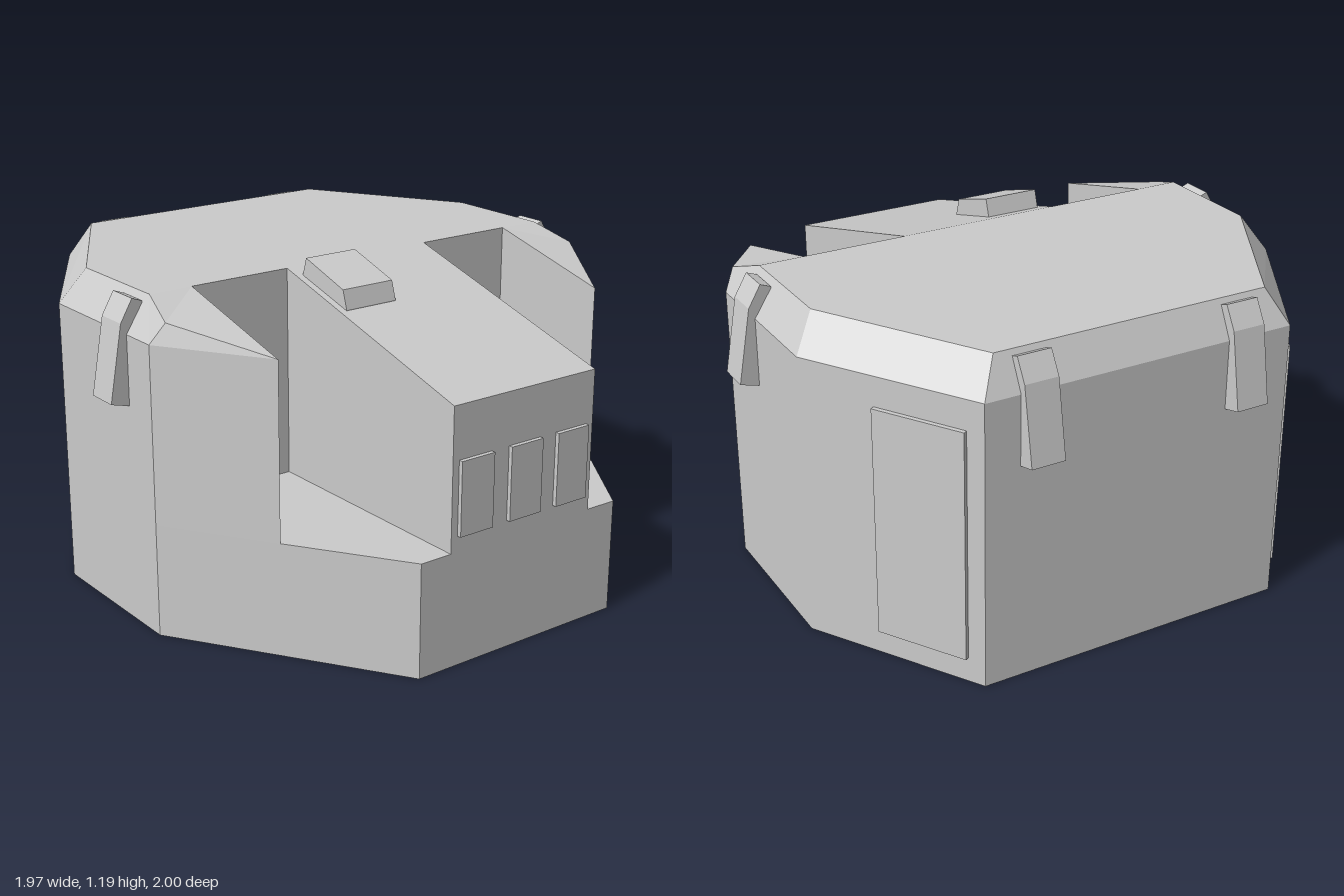
import * as THREE from 'three';

const material = new THREE.MeshStandardMaterial({ color: 0xcccccc, flatShading: true });

// Heights and depths of the hull
const LEDGE = 0.4, EAVE = 1.015, ROOF = 1.14, NOSE = 0.893;
const FRONT = 0.985, STEP = 0.11, BACK = -0.937;

function addMesh(parent, name, geometry) {
  const mesh = new THREE.Mesh(geometry, material);
  mesh.name = name;
  parent.add(mesh);
  return mesh;
}

// Flat polygons given for the +x half, fanned into triangles and mirrored to -x
function mirroredFaces(faces) {
  const positions = [];
  for (const face of faces) {
    for (let i = 1; i < face.length - 1; i++) {
      const [a, b, c] = [face[0], face[i], face[i + 1]];
      positions.push(...a, ...b, ...c);
      for (const [x, y, z] of [a, c, b]) positions.push(-x, y, z);
    }
  }
  const geometry = new THREE.BufferGeometry();
  geometry.setAttribute('position', new THREE.Float32BufferAttribute(positions, 3));
  geometry.computeVertexNormals();
  return geometry;
}

// Upright wall between two [x, z] points, running front to back
const wall = (a, b, y0, y1) => [[a[0], y0, a[1]], [b[0], y0, b[1]], [b[0], y1, b[1]], [a[0], y1, a[1]]];

// Side profile extruded symmetrically about its own plane
function extrudeProfile(points, width) {
  const shape = new THREE.Shape(points.map(([x, y]) => new THREE.Vector2(x, y)));
  return new THREE.ExtrudeGeometry(shape, { depth: width, bevelEnabled: false }).translate(0, 0, -width / 2);
}

function hullGeometry() {
  // Footprint corners, [x, z]
  const nose = [0.42, FRONT], notch = [0.68, 0.598], side = [0.92, 0.232];
  const rear = [0.92, -0.363], tail = [0.57, BACK];
  const at = ([x, z], y) => [x, y, z];
  // Roof corners
  const roofFront = [0.84, ROOF, STEP], roofRear = [0.84, ROOF, -0.305];
  const roofTail = [0.505, ROOF, -0.873], roofMid = [0, ROOF, -0.873];
  const shoulder = [0.877, 1.088, 0.265];

  return mirroredFaces([
    // Outer walls
    wall([0, FRONT], nose, 0, LEDGE),
    wall(nose, side, 0, LEDGE),
    wall(notch, side, LEDGE, EAVE),
    wall(side, rear, 0, EAVE),
    wall(rear, tail, 0, EAVE),
    wall(tail, [0, BACK], 0, EAVE),
    // Centre nose: front, cheek and sloping top
    wall([0, FRONT], [0.3, FRONT], LEDGE, NOSE),
    [[0.3, LEDGE, FRONT], [0.3, LEDGE, STEP], [0.3, ROOF, STEP], [0.3, NOSE, FRONT]],
    [[0, ROOF, STEP], [0, NOSE, FRONT], [0.3, NOSE, FRONT], [0.3, ROOF, STEP]],
    // Recess beside the nose: back, outer wall and floor
    wall([0.3, STEP], [0.68, STEP], LEDGE, ROOF),
    [[0.68, LEDGE, STEP], at(notch, LEDGE), at(notch, EAVE), [0.68, ROOF, STEP]],
    [[0.3, LEDGE, STEP], [0.3, LEDGE, FRONT], at(nose, LEDGE), at(notch, LEDGE), [0.68, LEDGE, STEP]],
    // Shoulder slope and bevels round the eaves
    [[0.68, ROOF, STEP], at(notch, EAVE), shoulder, roofFront],
    [at(notch, EAVE), at(side, EAVE), shoulder],
    [at(side, EAVE), at(rear, EAVE), roofRear, roofFront, shoulder],
    [at(rear, EAVE), at(tail, EAVE), roofTail, roofRear],
    [at(tail, EAVE), [0, EAVE, BACK], roofMid, roofTail],
    // Roof and underside
    [roofMid, [0, ROOF, STEP], roofFront, roofRear, roofTail],
    [[0, 0, BACK], at(tail, 0), at(rear, 0), at(side, 0), at(nose, 0), [0, 0, FRONT]],
  ]);
}

export function createModel() {
  const model = new THREE.Group();
  model.name = 'armouredCabin';

  addMesh(model, 'hull', hullGeometry());

  // Three raised panels on the nose
  for (const x of [-0.207, 0, 0.203]) {
    addMesh(model, 'frontPanel', new THREE.BoxGeometry(0.135, 0.255, 0.03)).position.set(x, 0.583, 0.985);
  }

  // Tapered sight block on the nose slope, right of centre
  const block = addMesh(model, 'sightBlock',
    extrudeProfile([[0.41, 1.04], [0.41, 1.058], [0.39, 1.122], [0.185, 1.187], [0.165, 1.122], [0.165, 1.1]], 0.205));
  block.rotation.y = -Math.PI / 2;
  block.position.x = -0.172;

  // Door panels on the rear diagonals
  for (const s of [-1, 1]) {
    const door = addMesh(model, s > 0 ? 'leftDoor' : 'rightDoor', new THREE.BoxGeometry(0.33, 0.82, 0.032));
    door.position.set(s * 0.688, 0.5, -0.743);
    door.rotation.y = s * Math.atan2(0.574, -0.35) + (s > 0 ? 0 : Math.PI);
  }

  // Bent brackets hooked over the eaves, profile measured outward from the wall
  const bracket = extrudeProfile(
    [[-0.065, 1.085], [0, 0.772], [0.067, 0.79], [0.02, 1.055], [-0.025, 1.132], [-0.062, 1.118]], 0.12);
  for (const [x, z, turn] of [
    [0.92, 0.033, 0], [-0.92, 0.033, Math.PI],
    [0.385, BACK, Math.PI / 2], [-0.385, BACK, Math.PI / 2],
  ]) {
    const mesh = addMesh(model, 'eaveBracket', bracket);
    mesh.position.set(x, 0, z);
    mesh.rotation.y = turn;
  }

  return model;
}
